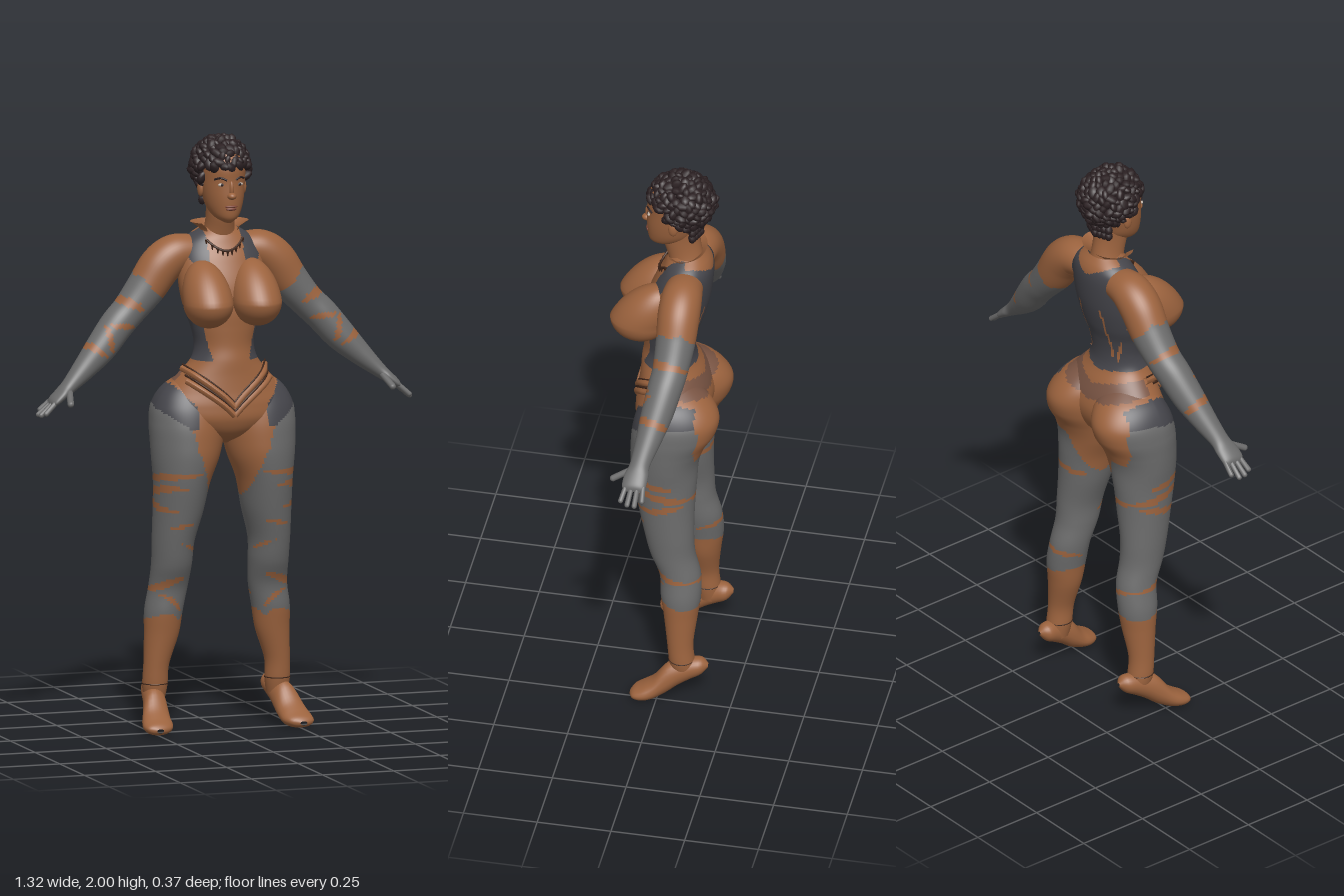
import * as THREE from 'three';
import { mergeGeometries } from 'three/addons/utils/BufferGeometryUtils.js';

const flat = (name, color, extra) => Object.assign(new THREE.MeshStandardMaterial({ color, ...extra }), { name });
const BROWN = 0, DARK = 1, GREY = 2, BELT = 3;
const mats = [flat('brown', 0x9c633e), flat('darkPanel', 0x45454b), flat('grey', 0x6b6b6b), flat('beltBrown', 0x795443)];
const hairMat = flat('hair', 0x2b2022), seamMat = flat('seam', 0x3f261a), lipMat = flat('lips', 0x7c4436);
const eyeMat = flat('eyeWhite', 0xb9aca0), collarMat = flat('collarBrown', 0x9c633e, { side: THREE.DoubleSide });

// smooth value of every column of a section table at t in 0..1
function sample(rows, t) {
  const f = Math.min(t, 1) * (rows.length - 1), i = Math.min(Math.floor(f), rows.length - 2), u = f - i;
  const at = k => rows[Math.max(0, Math.min(rows.length - 1, k))];
  return rows[0].map((_, c) => {
    const [a, b, d, e] = [at(i - 1)[c], at(i)[c], at(i + 1)[c], at(i + 2)[c]];
    return b + 0.5 * u * (d - a + u * (2 * a - 5 * b + 4 * d - e + u * (3 * (b - d) + e - a)));
  });
}

// skin over sections [x, y, z, half width, radius one way, radius other way]; each face is painted by place
function loft(rows, { mode = 'up', segs = 64, steps = 100, paint = () => BROWN } = {}) {
  const pos = [], lists = mats.map(() => []);
  for (let i = 0; i <= steps; i++) {
    const t = i / steps, [x, y, z, a, p, q] = sample(rows, t);
    let ax = 1, ay = 0;
    if (mode === 'along') {
      const s = sample(rows, Math.max(0, t - 0.01)), e = sample(rows, Math.min(1, t + 0.01));
      const l = Math.hypot(e[0] - s[0], e[1] - s[1]);
      ax = (e[1] - s[1]) / l; ay = -(e[0] - s[0]) / l;
    }
    for (let j = 0; j < segs; j++) {
      const th = j / segs * Math.PI * 2, c = Math.cos(th) * a, s = Math.sin(th), b = s * (s > 0 ? p : q);
      if (mode === 'forward') pos.push(x + c, y + b, z);
      else pos.push(x + c * ax, y + c * ay, z + b);
    }
  }
  for (let i = 0; i < steps; i++) for (let j = 0; j < segs; j++) {
    const a = i * segs + j, b = i * segs + (j + 1) % segs, c = a + segs, d = b + segs;
    const mid = k => (pos[a * 3 + k] + pos[b * 3 + k] + pos[c * 3 + k] + pos[d * 3 + k]) / 4;
    lists[paint(mid(0), mid(1), mid(2))].push(a, c, b, b, c, d);
  }
  const g = new THREE.BufferGeometry();
  g.setAttribute('position', new THREE.Float32BufferAttribute(pos, 3));
  g.setIndex(lists.flat());
  let start = 0;
  lists.forEach((l, m) => { if (l.length) g.addGroup(start, l.length, m); start += l.length; });
  g.computeVertexNormals();
  return g;
}

function mirror(geo) {
  const g = geo.clone().scale(-1, 1, 1), ix = g.index.array;
  for (let i = 0; i < ix.length; i += 3) [ix[i], ix[i + 1]] = [ix[i + 1], ix[i]];
  g.computeVertexNormals();
  return g;
}

const ball = (x, y, z, a, b, c, w = 24, h = 16) => new THREE.SphereGeometry(1, w, h).scale(a, b, c).translate(x, y, z);

function rod(p, q, r) {
  const a = new THREE.Vector3(...p), b = new THREE.Vector3(...q), d = b.clone().sub(a);
  const turn = new THREE.Quaternion().setFromUnitVectors(new THREE.Vector3(0, 1, 0), d.clone().normalize());
  return new THREE.CapsuleGeometry(r, d.length(), 5, 10).applyQuaternion(turn).translate(...a.add(b).multiplyScalar(0.5).toArray());
}

const cord = (pts, r) => new THREE.TubeGeometry(new THREE.CatmullRomCurve3(pts.map(p => new THREE.Vector3(...p))), 32, r, 8);

// lens-shaped tears: [place, slant, centre angle, half angle, half height]
const torn = (list, v, ang) => list.some(([v0, slant, mid, half, h]) => {
  const d = Math.atan2(Math.sin(ang - mid), Math.cos(ang - mid));
  return Math.abs(v - v0 - slant * Math.sin(d)) < h * (1 - (d / half) ** 2);
});
const legTears = [[.865, .01, .8, 1.3, .012], [.815, .015, .2, 1.6, .015], [.765, -.02, .3, 1.4, .012], [.70, .02, 1.6, .6, .007],
  [.62, -.03, 2.2, .7, .007], [.495, .02, .6, 1.7, .013], [.43, -.03, 1.5, 1.3, .011], [.79, .01, -2, .9, .01], [.46, .02, -1.8, .9, .009]];
const armTears = [[-1.12, .02, 2.6, 2.2, .022], [-1.02, .04, 1.5, 1.2, .016], [-.93, -.04, 1.7, 1.3, .018], [-.84, .02, 2.8, 2.2, .018]];

// hips and legs
function lowerPaint(x, y, z) {
  const ax = Math.abs(x), ang = Math.atan2(z + 0.03, ax - 0.165);
  if (y < 0.385 + 0.012 * Math.sin(ang * 2)) return BROWN;
  if (z < 0 && Math.abs(y - 1.165 - ax * 0.25) < 0.028) return BELT;
  if (y > 0.95 && z < -0.115 && ax < 0.21) return BROWN;
  if (y < 1.03 && y > 0.78 && ax < 0.06 + (y - 0.78) * 0.34) return BROWN;
  const low = z < -0.03 ? 1.1 : 1.03 + (ax - 0.15) * 0.7;
  if (y > low) return ax > 0.12 && y < 1.09 + (ax - 0.115) * 1.18 ? DARK : BROWN;
  if (y > 0.95 && ax < 0.13) return BROWN;
  return torn(legTears, y, ang) ? BROWN : GREY;
}

// back, side and shoulder panels
function torsoPaint(x, y, z) {
  const ax = Math.abs(x);
  if (y < 1.235) return lowerPaint(x, y, z);
  if (z < -0.06) {
    if (Math.abs(ax - 0.055) < 0.004 && y > 1.3 && y < 1.5) return BROWN;
    return y > 1.24 + ax * 0.15 && y < 1.625 + ax * 0.5 && ax < 0.15 ? DARK : BROWN;
  }
  if (y < 1.43) return y > 1.25 && ax > 0.075 + (y - 1.3) * 0.25 ? DARK : BROWN;
  return y > 1.53 && ax > 0.062 && ax < 0.13 - Math.max(0, 1.6 - y) * 0.7 ? DARK : BROWN;
}

function armPaint(x, y, z) {
  const s = x - y;
  if (s < -1.245 + 0.01 * Math.sin(z * 90)) return BROWN;
  const line = 1.74 - (s + 1.24) * 0.05;
  return torn(armTears, s, Math.atan2(z + 0.04, -(x + y - line))) ? BROWN : GREY;
}

const torsoRows = [
  [0, .965, -.02, .03, .03, .03], [0, 1.0, -.02, .13, .10, .08], [0, 1.05, -.02, .225, .13, .11], [0, 1.10, -.02, .232, .132, .12],
  [0, 1.15, -.02, .20, .125, .11], [0, 1.20, -.01, .155, .11, .10], [0, 1.25, 0, .114, .097, .085], [0, 1.30, 0, .102, .09, .08],
  [0, 1.36, 0, .114, .09, .09], [0, 1.42, -.01, .134, .10, .10], [0, 1.50, -.02, .148, .10, .11], [0, 1.58, -.04, .145, .09, .10],
  [0, 1.63, -.055, .13, .08, .085], [0, 1.66, -.06, .10, .07, .07], [0, 1.685, -.06, .06, .05, .05]];
const legRows = [
  [.215, .10, -.085, .034, .04, .045], [.215, .15, -.078, .042, .042, .045], [.212, .22, -.072, .043, .043, .045],
  [.195, .32, -.07, .058, .055, .058], [.188, .40, -.068, .064, .065, .07], [.175, .48, -.06, .065, .064, .075],
  [.17, .56, -.04, .067, .077, .075], [.168, .64, -.03, .07, .087, .08], [.155, .74, -.02, .083, .10, .09],
  [.145, .84, -.01, .094, .11, .105], [.133, .92, -.01, .113, .12, .11], [.127, .98, -.01, .122, .12, .13],
  [.122, 1.04, -.01, .127, .115, .165], [.115, 1.10, -.01, .124, .10, .172], [.10, 1.16, -.01, .10, .07, .13], [.09, 1.21, -.01, .03, .03, .05]];
const footRows = [
  [.252, .020, .088, .012, .006, .008], [.25, .024, .075, .04, .016, .02], [.245, .028, .045, .052, .03, .028],
  [.24, .04, .01, .05, .045, .034], [.23, .07, -.03, .043, .065, .045], [.222, .10, -.07, .038, .05, .045],
  [.215, .12, -.11, .036, .04, .04], [.21, .13, -.145, .03, .03, .03], [.21, .135, -.168, .006, .006, .006]];
const armRows = [
  [.09, 1.605, -.065, .055, .06, .06], [.15, 1.597, -.065, .066, .068, .068], [.20, 1.56, -.065, .07, .07, .07],
  [.25, 1.49, -.065, .066, .066, .066], [.31, 1.42, -.06, .057, .06, .06], [.36, 1.37, -.05, .056, .058, .058],
  [.42, 1.30, -.035, .052, .053, .053], [.48, 1.24, -.02, .04, .043, .043], [.54, 1.185, -.005, .026, .035, .033],
  [.57, 1.16, 0, .02, .042, .038], [.60, 1.135, .003, .015, .042, .038], [.612, 1.122, .003, .004, .03, .03]];
const headRows = [
  [0, 1.712, .04, .012, .02, .02], [0, 1.73, .02, .04, .055, .05], [0, 1.76, 0, .058, .08, .07], [0, 1.80, -.01, .068, .092, .08],
  [0, 1.85, -.02, .074, .10, .09], [0, 1.90, -.025, .076, .105, .095], [0, 1.95, -.025, .062, .08, .08], [0, 1.975, -.025, .02, .03, .03]];
const neckRows = [[0, 1.62, -.06, .068, .055, .06], [0, 1.68, -.045, .05, .058, .062], [0, 1.74, -.03, .047, .058, .068], [0, 1.80, -.03, .05, .05, .07]];

// front z of the torso at a given x and y
function torsoFront(x, y) {
  let t = 0;
  while (t < 1 && sample(torsoRows, t)[1] < y) t += 0.002;
  const [, , z, a, p] = sample(torsoRows, t);
  return z + p * Math.sqrt(Math.max(0, 1 - (x / a) ** 2));
}

export function createModel() {
  const model = new THREE.Group();
  const add = (name, geo, mat) => {
    const m = new THREE.Mesh(geo, mat);
    m.name = name;
    model.add(m);
  };
  const pair = (name, geo, mat) => { add(name + 'Left', geo, mat); add(name + 'Right', mirror(geo), mat); };

  // body
  add('torso', loft(torsoRows, { segs: 112, steps: 130, paint: torsoPaint }), mats);
  pair('leg', loft(legRows, { segs: 72, steps: 160, paint: lowerPaint }), mats);
  pair('foot', loft(footRows, { mode: 'forward', segs: 28, steps: 32 }), mats);
  pair('arm', loft(armRows, { mode: 'along', segs: 44, steps: 110, paint: armPaint }), mats);
  add('neck', loft(neckRows, { segs: 32, steps: 16 }), mats);

  // bust, drawn out upwards into the chest
  const bust = ball(0, 0, 0, .082, .084, .1, 40, 30), bp = bust.attributes.position;
  for (let i = 0; i < bp.count; i++) {
    const y = bp.getY(i);
    if (y > 0) bp.setXYZ(i, bp.getX(i), y * 1.6, bp.getZ(i) - y * 0.75);
  }
  bust.translate(.085, 1.452, .09).computeVertexNormals();
  pair('bust', bust, mats[BROWN]);

  // fingers and thumb
  const fingers = [-.026, -.008, .011, .029].map((z, i) =>
    rod([.592, 1.142, z], [[.636, .649, .647, .638][i], [1.105, 1.092, 1.092, 1.1][i], z * 1.3 + .004], .0088));
  fingers.push(rod([.55, 1.168, .022], [.566, 1.135, .082], .011));
  pair('fingers', mergeGeometries(fingers), mats[GREY]);

  // head and face
  add('head', loft(headRows, { segs: 40, steps: 40 }), mats);
  add('nose', mergeGeometries([ball(0, 1.805, .082, .015, .012, .018), ball(0, 1.828, .078, .008, .028, .011)]), mats[BROWN]);
  add('lips', mergeGeometries([ball(0, 1.769, .076, .022, .005, .009), ball(0, 1.761, .075, .019, .006, .009)]), lipMat);
  pair('eye', ball(.031, 1.843, .069, .013, .006, .006), eyeMat);
  pair('iris', ball(.031, 1.843, .0735, .0055, .0055, .003, 12, 8), hairMat);
  pair('brow', cord([[.015, 1.858, .078], [.034, 1.866, .071], [.052, 1.86, .054]], .0035), hairMat);
  pair('ear', ball(.075, 1.82, -.02, .01, .026, .016), mats[BROWN]);

  // short curly hair: a cap covered in overlapping curls
  let seed = 7;
  const rand = () => (seed = (seed * 16807) % 2147483647) / 2147483647;
  const curls = [ball(0, 1.897, -.045, .086, .086, .092, 28, 20)];
  for (let i = 0; i < 230; i++) {
    const v = 1 - 2 * (i + .5) / 230, r = Math.sqrt(1 - v * v), a = i * 2.39996;
    const x = Math.cos(a) * r * .088, y = 1.89 + v * .09, z = -.035 + Math.sin(a) * r * .102;
    if (!(y > 1.893 || (z < 0 && y > 1.835) || z < -.05)) continue;
    const s = .014 + rand() * .007;
    curls.push(new THREE.SphereGeometry(s, 8, 6).scale(1.3, .8, 1).rotateZ(rand() * 3).rotateY(rand() * 6).translate(x, Math.min(y, 1.982), z));
  }
  for (let i = 0; i < 14; i++) curls.push(ball((i % 7 - 3) * .016, 1.795 - Math.floor(i / 7) * .022, -.098 + Math.abs(i % 7 - 3) * .006, .014, .018, .014, 8, 6));
  add('hair', mergeGeometries(curls), hairMat);

  // flared collar, open at the front
  const profile = [[.066, -.035], [.06, 0], [.07, .025], [.1, .045]].map(p => new THREE.Vector2(...p));
  add('collar', new THREE.LatheGeometry(profile, 40, .9, Math.PI * 2 - 1.8).scale(1, 1, .75).translate(0, 1.66, -.045), collarMat);

  // necklace with pointed teeth
  const beads = [];
  for (let i = -4; i <= 4; i++) {
    const x = i * .016, y = 1.615 + x * x * 9;
    beads.push([x, y, torsoFront(x, y) + .006]);
  }
  add('necklace', cord(beads, .004), seamMat);
  const tooth = ([x, y, z]) => new THREE.ConeGeometry(.005, .026, 8).rotateX(Math.PI).translate(x, y - .014, z + .002);
  add('necklaceTeeth', mergeGeometries(beads.map(tooth)), seamMat);

  // crossed hip straps with dark piping
  const strap = (y0, y1, lift) => [0, .03, .06, .09, .12, .145].map(x => {
    const y = y0 + (y1 - y0) * (x / .145) ** 0.85;
    return [x, y, torsoFront(x, y) + lift];
  });
  pair('upperStrap', cord(strap(1.10, 1.222, 0), .011), mats[BROWN]);
  pair('lowerStrap', cord(strap(1.072, 1.185, 0), .011), mats[BROWN]);
  pair('strapPiping', cord(strap(1.086, 1.203, .004), .004), seamMat);
  pair('strapEdge', cord(strap(1.116, 1.236, .001), .003), seamMat);

  // ankle seams
  pair('ankleSeam', new THREE.TorusGeometry(.0425, .002, 6, 32).rotateX(Math.PI / 2).translate(.215, .155, -.078), seamMat);
  return model;
}
